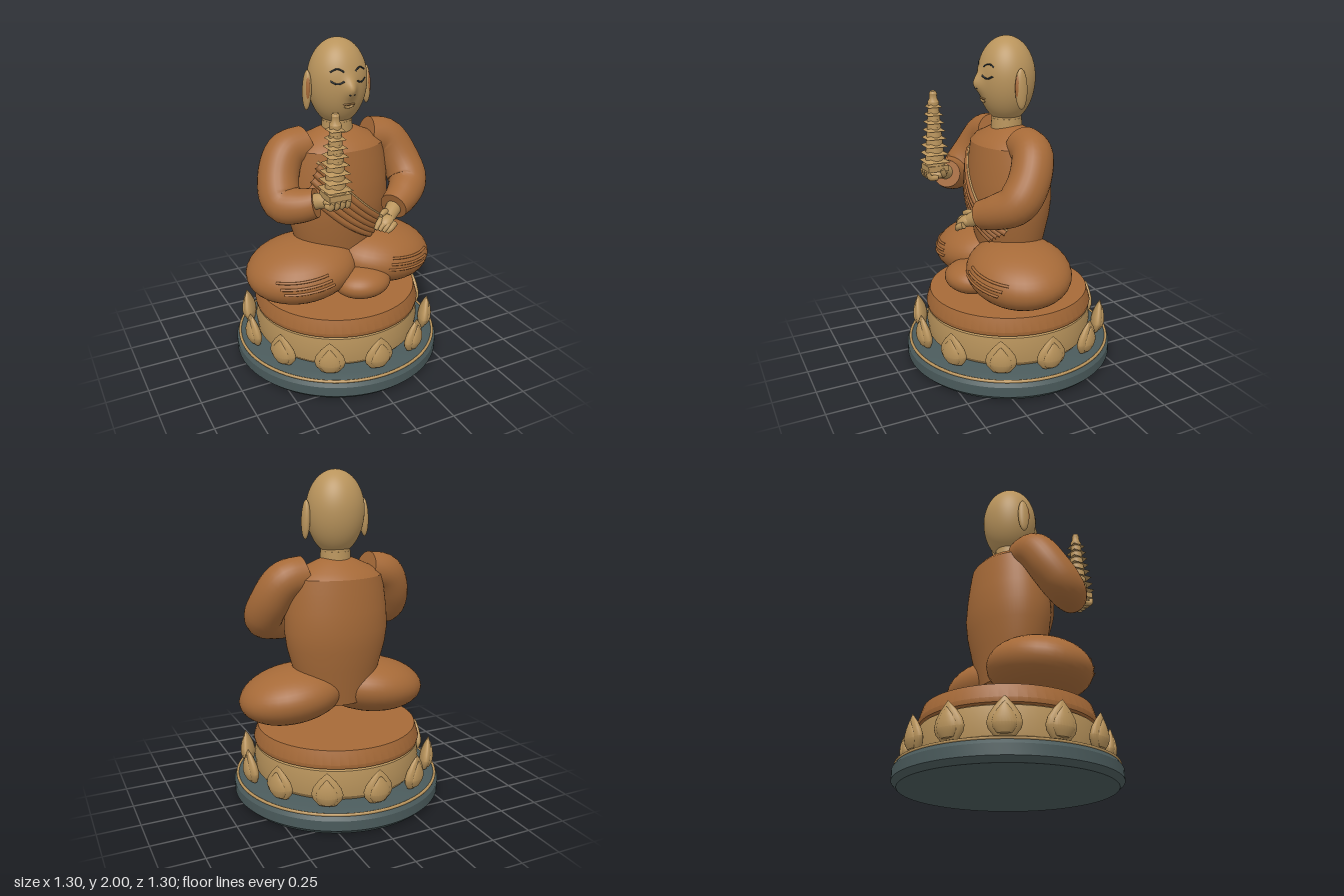
import * as THREE from 'three';
import { toCreasedNormals } from 'three/addons/utils/BufferGeometryUtils.js';

const paint = (name, color) => Object.assign(new THREE.MeshStandardMaterial({ color }), { name });
const V = (x, y, z) => new THREE.Vector3(x, y, z);

export function createModel() {
  const robe = paint('robe terracotta', 0xa66a38);
  const gold = paint('aged gold', 0xb9945c);
  const slate = paint('slate', 0x4a5a5b);
  const ink = paint('dark line', 0x22292c);
  const lip = paint('lip brown', 0x8f6a3c);
  const model = new THREE.Group();
  model.name = 'seatedFigure';

  const add = (parent, name, geo, mat) => {
    const m = new THREE.Mesh(geo, mat);
    m.name = name;
    parent.add(m);
    return m;
  };
  const lathe = (pts, seg = 64) =>
    toCreasedNormals(new THREE.LatheGeometry(pts.map(p => new THREE.Vector2(...p)), seg), 0.5);
  const ball = (parent, name, mat, pos, radii, rot = [0, 0, 0]) => {
    const m = add(parent, name, new THREE.SphereGeometry(1, 36, 24), mat);
    m.position.set(...pos);
    m.scale.set(...radii);
    m.rotation.set(...rot);
    return m;
  };
  const tube = (parent, name, mat, pts, r) =>
    add(parent, name, new THREE.TubeGeometry(new THREE.CatmullRomCurve3(pts), 28, r, 8), mat);

  // Capped limb whose radius blends through a list of values
  const limb = (parent, name, mat, pts, radii, sides = 28, n = 28) => {
    const curve = new THREE.CatmullRomCurve3(pts.map(p => V(...p)));
    const { normals, binormals } = curve.computeFrenetFrames(n);
    const pos = [], idx = [];
    const ring = (i, r) => {
      const c = curve.getPointAt(i / n);
      for (let j = 0; j < sides; j++) {
        const a = j / sides * Math.PI * 2;
        const p = c.clone().addScaledVector(normals[i], r * Math.cos(a)).addScaledVector(binormals[i], r * Math.sin(a));
        pos.push(p.x, p.y, p.z);
      }
    };
    ring(0, 0);
    for (let i = 0; i <= n; i++) {
      const t = i / n * (radii.length - 1), k = Math.min(Math.floor(t), radii.length - 2);
      ring(i, THREE.MathUtils.lerp(radii[k], radii[k + 1], t - k));
    }
    ring(n, 0);
    for (let i = 0; i < n + 2; i++) for (let j = 0; j < sides; j++) {
      const a = i * sides + j, c = i * sides + (j + 1) % sides;
      idx.push(a, c, a + sides, c, c + sides, a + sides);
    }
    const g = new THREE.BufferGeometry();
    g.setAttribute('position', new THREE.Float32BufferAttribute(pos, 3));
    g.setIndex(idx);
    return add(parent, name, toCreasedNormals(g, 0.9), mat);
  };

  // Pedestal
  add(model, 'baseDisc', lathe([[0, 0], [0.62, 0], [0.65, 0.03], [0.65, 0.09], [0.63, 0.12], [0.58, 0.14], [0, 0.14]], 80), slate);
  const trim = add(model, 'baseTrim', new THREE.TorusGeometry(0.63, 0.009, 8, 80), gold);
  trim.rotation.x = Math.PI / 2;
  trim.position.y = 0.12;
  add(model, 'lotusBand', lathe([[0.48, 0.135], [0.51, 0.17], [0.52, 0.25], [0.51, 0.33], [0.48, 0.345], [0, 0.345]]), gold);
  add(model, 'seat', lathe([[0, 0.33], [0.47, 0.33], [0.515, 0.345], [0.52, 0.37], [0.495, 0.45], [0, 0.45]]), robe);

  // Lotus petals
  const petalGeo = lathe([[0, 0], [0.055, 0.012], [0.085, 0.05], [0.092, 0.08], [0.082, 0.12], [0.052, 0.165], [0.02, 0.2], [0, 0.22]], 24);
  for (let i = 0; i < 12; i++) {
    const petal = new THREE.Group();
    petal.name = 'lotusPetal';
    const a = i * Math.PI / 6;
    petal.position.set(0.56 * Math.sin(a), 0.137, 0.56 * Math.cos(a));
    petal.rotation.set(0.13, a, 0, 'YXZ');
    add(petal, 'outerLeaf', petalGeo, gold).scale.z = 0.4;
    const inner = add(petal, 'innerLeaf', petalGeo, gold);
    inner.scale.set(0.72, 0.78, 0.35);
    inner.position.set(0, 0.015, 0.017);
    model.add(petal);
  }

  // Crossed legs with robe folds
  for (const s of [-1, 1]) {
    const leg = new THREE.Group();
    leg.name = s > 0 ? 'leftLeg' : 'rightLeg';
    leg.position.set(s * 0.265, s > 0 ? 0.65 : 0.64, 0.06);
    leg.rotation.set(0.1, s * 0.12, -s * 0.13);
    const R = [0.345, 0.178, 0.3];
    ball(leg, 'thigh', robe, [0, 0, 0], R);
    for (let k = 0; k < 3; k++) {
      const pts = [];
      for (let i = 0; i <= 8; i++) {
        const x = s * (-0.09 + 0.3 * i / 8 - 0.015 * k), y = 0.072 - 0.033 * k;
        pts.push(V(x, y, R[2] * Math.sqrt(1 - (x / R[0]) ** 2 - (y / R[1]) ** 2)));
      }
      tube(leg, 'legFold', robe, pts, 0.008);
    }
    model.add(leg);
  }
  ball(model, 'crossedFoot', robe, [0.04, 0.57, 0.27], [0.18, 0.095, 0.16]);

  // Torso
  const profile = [[0, 0.6], [0.22, 0.6], [0.28, 0.82], [0.315, 0.95], [0.33, 1.06], [0.322, 1.18], [0.305, 1.3], [0.29, 1.38], [0.25, 1.415], [0.13, 1.47], [0.08, 1.49], [0, 1.49]];
  const DEPTH = 0.73;
  add(model, 'torso', lathe(profile), robe).scale.z = DEPTH;
  const torsoZ = (x, y) => {
    const k = profile.findIndex((p, i) => i > 1 && p[1] >= y);
    const [a, b] = [profile[k - 1], profile[k]];
    const r = THREE.MathUtils.lerp(a[0], b[0], (y - a[1]) / (b[1] - a[1]));
    return DEPTH * Math.sqrt(Math.max(0, r * r - x * x));
  };

  // Diagonal sash
  const strand = (name, mat, x0, y0, x1, y1, r, sag) => {
    const pts = [];
    for (let i = 0; i <= 12; i++) {
      const t = i / 12, x = x0 + (x1 - x0) * t;
      const y = y0 + (y1 - y0) * t - sag * Math.sin(Math.PI * t);
      pts.push(V(x, y, torsoZ(x, y)));
    }
    tube(model, name, mat, pts, r);
  };
  for (let k = 0; k < 5; k++)
    strand('sashFold', robe, -0.2 - 0.014 * k, 1.31 - 0.04 * k, 0.24 - 0.025 * k, 0.89 - 0.017 * k, 0.021, 0.03);
  strand('sashEdge', gold, -0.2, 1.335, 0.25, 0.905, 0.008, 0.028);

  // Sleeved arms
  limb(model, 'rightSleeve', robe, [[-0.2, 1.4, 0], [-0.33, 1.365, 0.01], [-0.405, 1.23, 0.07], [-0.415, 1.12, 0.16], [-0.35, 1.12, 0.235], [-0.27, 1.145, 0.295]],
    [0.11, 0.118, 0.12, 0.12, 0.105, 0.085]);
  limb(model, 'leftSleeve', robe, [[0.2, 1.4, 0], [0.33, 1.365, 0.01], [0.405, 1.23, 0.07], [0.415, 1.12, 0.15], [0.34, 1.065, 0.225], [0.24, 1.025, 0.285]],
    [0.11, 0.118, 0.12, 0.12, 0.105, 0.085]);

  // Hands
  limb(model, 'rightWrist', gold, [[-0.31, 1.135, 0.26], [-0.265, 1.165, 0.32], [-0.22, 1.175, 0.365]], [0.048, 0.046, 0.042], 16, 8);
  ball(model, 'rightPalm', gold, [-0.205, 1.175, 0.38], [0.062, 0.032, 0.06]);
  limb(model, 'leftWrist', gold, [[0.27, 1.03, 0.26], [0.22, 1.005, 0.3], [0.175, 0.98, 0.33]], [0.05, 0.046, 0.04], 16, 8);
  ball(model, 'leftPalm', gold, [0.155, 0.972, 0.34], [0.062, 0.036, 0.05], [0, 0.6, 0.4]);
  for (let k = 0; k < 4; k++) {
    const rx = -0.255 + 0.033 * k;
    limb(model, 'rightFinger', gold, [[rx, 1.16, 0.4], [rx + 0.005, 1.165, 0.445], [rx + 0.008, 1.2, 0.462]], [0.018, 0.018, 0.012], 10, 8);
    const o = 0.02 * k;
    limb(model, 'leftFinger', gold, [[0.135 + o, 0.985 - o * 0.4, 0.335 + o * 0.7], [0.1 + o, 0.968 - o * 0.4, 0.355 + o * 0.7], [0.075 + o, 0.938 - o * 0.3, 0.365 + o * 0.5]],
      [0.02, 0.019, 0.012], 10, 8);
  }
  limb(model, 'rightThumb', gold, [[-0.2, 1.165, 0.35], [-0.15, 1.18, 0.36], [-0.135, 1.215, 0.375]], [0.022, 0.019, 0.013], 10, 8);
  limb(model, 'leftThumb', gold, [[0.19, 1.0, 0.31], [0.155, 1.02, 0.325], [0.12, 1.01, 0.345]], [0.022, 0.02, 0.013], 10, 8);

  // Tiered tower held in the right hand
  const tower = new THREE.Group();
  tower.name = 'tieredTower';
  tower.position.set(-0.2, 1.2, 0.395);
  model.add(tower);
  add(tower, 'towerPlinth', new THREE.BoxGeometry(0.13, 0.035, 0.13), gold).position.y = 0.017;
  const TIERS = 8;
  for (let i = 0; i < TIERS; i++) {
    const w = 0.075 - 0.0048 * i, y = 0.03 + i * 0.047;
    add(tower, 'towerStorey', new THREE.CylinderGeometry(w * 0.76, w * 0.82, 0.047, 20), gold).position.y = y + 0.023;
    const roof = add(tower, 'towerRoof', new THREE.CylinderGeometry(w * 0.8, w * 1.41, 0.017, 4).toNonIndexed(), gold);
    roof.rotation.y = Math.PI / 4;
    roof.position.y = y + 0.033;
  }
  add(tower, 'towerFinial', lathe([[0.034, 0.4], [0.034, 0.415], [0.025, 0.43], [0.022, 0.45], [0.024, 0.462], [0.017, 0.478], [0, 0.484]], 20), gold);

  // Neck and head, with the nose drawn out of the face
  add(model, 'neck', new THREE.CylinderGeometry(0.088, 0.09, 0.14, 32), gold).position.set(0, 1.5, 0.01);
  add(model, 'neckRing', new THREE.CylinderGeometry(0.09, 0.093, 0.06, 32), gold).position.set(0, 1.495, 0.01);
  const MID = 1.765, HZ = 0.012;
  const headR = y => (y > MID ? 0.175 * Math.sqrt(Math.max(0, 1 - ((y - MID) / 0.235) ** 2))
    : 0.175 * Math.sqrt(Math.max(0, 1 - ((MID - y) / 0.265) ** 2)));
  const nose = (x, y) => 0.042 * Math.exp(-((x / 0.035) ** 2) - ((y - 1.735) / 0.055) ** 2);
  const faceZ = (x, y) => HZ + 0.97 * Math.sqrt(Math.max(0, headR(y) ** 2 - x * x)) + nose(x, y);
  const headGeo = new THREE.SphereGeometry(1, 96, 64);
  const hp = headGeo.attributes.position;
  for (let i = 0; i < hp.count; i++) {
    const v = V(0, 0, 0).fromBufferAttribute(hp, i);
    const x = v.x * 0.175, y = MID + v.y * (v.y > 0 ? 0.235 : 0.265);
    hp.setXYZ(i, x, y, HZ + v.z * 0.17 + (v.z > 0 ? nose(x, y) : 0));
  }
  headGeo.computeVertexNormals();
  add(model, 'head', headGeo, gold);

  // Facial lines and ears
  const faceLine = (name, mat, x0, x1, y, bow, r) => {
    const pts = [];
    for (let i = 0; i <= 10; i++) {
      const t = i / 10, x = x0 + (x1 - x0) * t, yy = y + bow * Math.sin(Math.PI * t);
      pts.push(V(x, yy, faceZ(x, yy)));
    }
    tube(model, name, mat, pts, r);
  };
  for (const s of [-1, 1]) {
    faceLine('brow', ink, s * 0.035, s * 0.105, 1.833, 0.017, 0.0045);
    faceLine('closedEyelid', ink, s * 0.037, s * 0.107, 1.785, -0.016, 0.005);
    ball(model, 'nostril', ink, [s * 0.013, 1.708, faceZ(0.013, 1.708)], [0.005, 0.004, 0.004]);
    ball(model, 'ear', gold, [s * 0.19, 1.715, 0.01], [0.024, 0.115, 0.037], [0, 0, s * 0.04]);
    ball(model, 'earHollow', robe, [s * 0.194, 1.725, 0.026], [0.014, 0.075, 0.024], [0, 0, s * 0.04]);
  }
  faceLine('upperLip', lip, -0.036, 0.036, 1.645, 0.003, 0.006);
  faceLine('lowerLip', gold, -0.03, 0.03, 1.638, -0.008, 0.008);
  return model;
}
